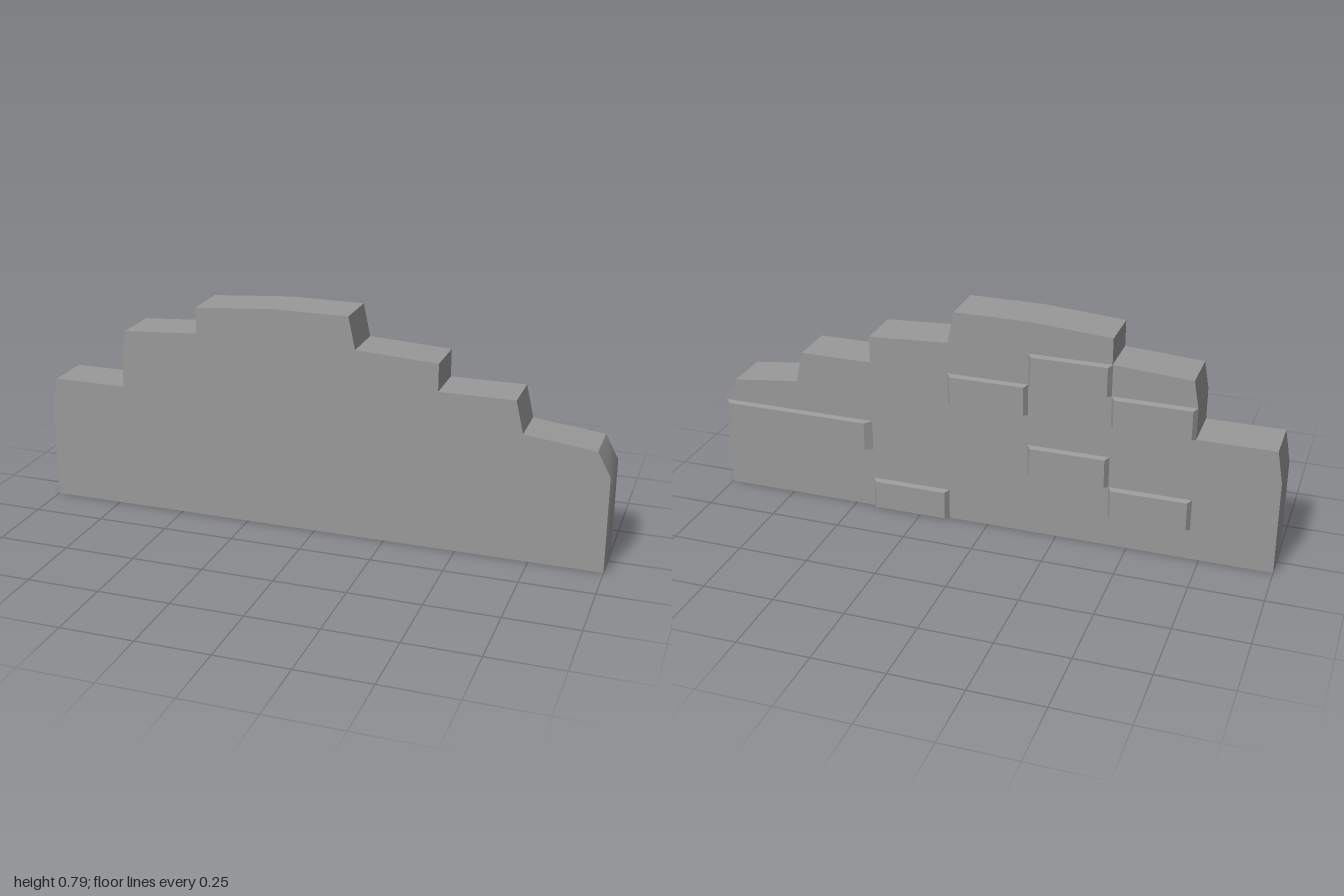
import * as THREE from 'three';
import { toCreasedNormals } from 'three/addons/utils/BufferGeometryUtils.js';

const material = new THREE.MeshStandardMaterial({ color: 0x999999, side: THREE.DoubleSide });
const FRONT = 0.093, BACK = -0.074, TIP = -0.093;
const ROW = 0.1122; // height of one brick course
const COLUMN = 2 / 7; // length of one brick

// Removes the triangles that lie in the plane axis = value, then smooths shallow bends
function openFace(geometry, axis, value) {
  const source = geometry.index ? geometry.toNonIndexed() : geometry;
  const p = source.attributes.position;
  const get = { y: 'getY', z: 'getZ' }[axis];
  const kept = [];
  for (let i = 0; i < p.count; i += 3) {
    const corners = [i, i + 1, i + 2];
    if (corners.every((c) => Math.abs(p[get](c) - value) < 1e-5)) continue;
    for (const c of corners) kept.push(p.getX(c), p.getY(c), p.getZ(c));
  }
  const result = new THREE.BufferGeometry();
  result.setAttribute('position', new THREE.Float32BufferAttribute(kept, 3));
  return toCreasedNormals(result, Math.PI / 6);
}

// Broken wall outline, extruded and open underneath
function createWall() {
  const outline = [
    [-1, 0], [1, 0], [1, 0.337], [0.955, 0.42], [0.712, 0.449], [0.686, 0.561],
    [0.427, 0.561], [0.427, 0.657], [0.142, 0.673], [0.118, 0.786], [-0.145, 0.786],
    [-0.427, 0.765], [-0.427, 0.673], [-0.697, 0.655], [-0.714, 0.561],
    [-0.714, 0.449], [-0.98, 0.449], [-1, 0.337],
  ].map(([x, y]) => new THREE.Vector2(x, y));
  const geometry = new THREE.ExtrudeGeometry(new THREE.Shape(outline), { depth: FRONT - BACK, bevelEnabled: false });
  geometry.translate(0, 0, BACK);
  const wall = new THREE.Mesh(openFace(geometry, 'y', 0), material);
  wall.name = 'wall';
  return wall;
}

// Raised brick whose outer face is slightly smaller than its base
function createBrick(column, row, span) {
  const depth = BACK - TIP;
  const length = span * COLUMN;
  const geometry = new THREE.BoxGeometry(length, ROW, depth);
  const p = geometry.attributes.position;
  for (let i = 0; i < p.count; i++) {
    if (p.getZ(i) < 0) p.setXY(i, p.getX(i) * 0.915, p.getY(i) * 0.915);
  }
  const brick = new THREE.Mesh(openFace(geometry, 'z', depth / 2), material);
  brick.position.set(1 - column * COLUMN - length / 2, (row + 0.5) * ROW, (BACK + TIP) / 2);
  return brick;
}

export function createModel() {
  const model = new THREE.Group();
  model.name = 'brokenWall';
  model.add(createWall());

  // Bricks on the back: column counted from the left end, course, columns spanned
  const bricks = new THREE.Group();
  bricks.name = 'raisedBricks';
  [
    [0, 2, 2], [2, 0, 1], [3, 4, 1], [4, 5, 1], [4, 2, 1], [5, 4, 1], [5, 1, 1],
  ].forEach(([column, row, span], i) => {
    const brick = createBrick(column, row, span);
    brick.name = `brick${i + 1}`;
    bricks.add(brick);
  });
  model.add(bricks);
  return model;
}
